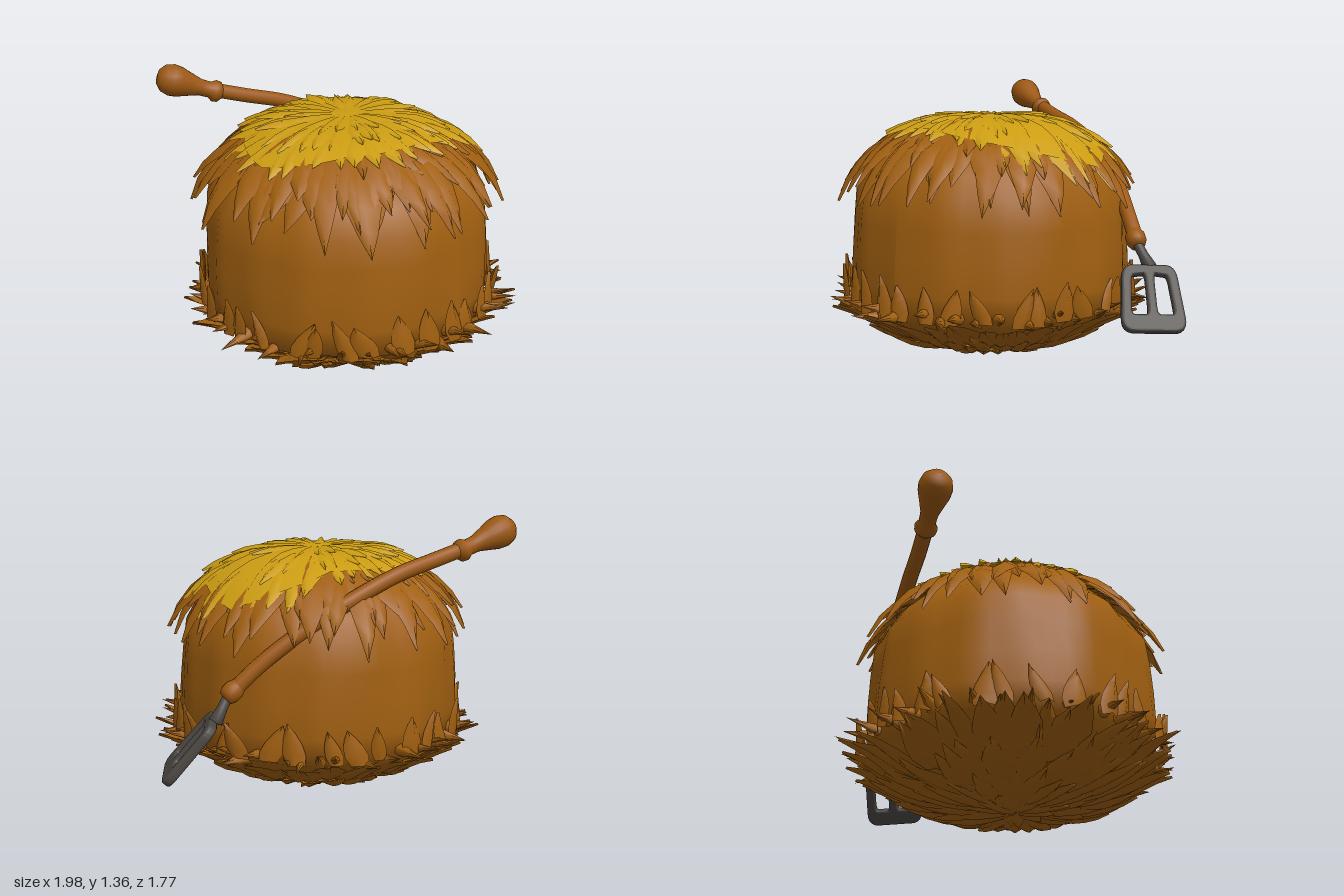
import * as THREE from 'three';

const CX = -0.14; // the stack sits left of the origin, the turner hangs on its other side

const mat = (name, color, side = THREE.FrontSide) => {
  const m = new THREE.MeshStandardMaterial({ color, side });
  m.name = name;
  return m;
};
const v2 = (pts) => pts.map(([r, y]) => new THREE.Vector2(r, y));
const spline = (pts) => new THREE.SplineCurve(v2(pts));

// Profiles (radius, height) that the straw follows
const roof = spline([[0, 1.19], [0.3, 1.165], [0.48, 1.09], [0.6, 0.99], [0.68, 0.87], [0.72, 0.75]]);
const under = spline([[0, 0.04], [0.3, 0.075], [0.52, 0.15], [0.7, 0.26], [0.84, 0.32]]);
const wall = spline([[0.74, 0.27], [0.705, 0.4], [0.695, 0.6]]);

let seed = 7;
const rnd = (a, b) => {
  seed = (seed * 16807) % 2147483647;
  return a + (b - a) * (seed / 2147483647);
};

// One pointed, ridged straw blade running along a profile from s0 to s1
const WIDTH = [0.75, 1, 0.85, 0.5, 0];
function blade(out, curve, sign, theta, s0, s1, width, lift, drift) {
  const base = out.pos.length / 3;
  WIDTH.forEach((f, i) => {
    const t = i / (WIDTH.length - 1);
    const s = THREE.MathUtils.clamp(s0 + (s1 - s0) * t, 0, 1);
    const p = curve.getPointAt(s), d = curve.getTangentAt(s);
    const a = theta + drift * t;
    const c = Math.cos(a), n = Math.sin(a);
    for (const k of [-1, 0, 1]) {
      const h = lift * t + (k === 0 ? 0.018 * f : -0.012);
      const r = p.x - sign * d.y * h, y = p.y + sign * d.x * h, u = k * f * width / 2;
      out.pos.push(CX + r * c - u * n, Math.max(y, 0), r * n + u * c);
    }
    if (i) for (const j of [0, 1]) {
      const q = base + i * 3 + j;
      out.idx.push(q - 3, q, q - 2, q - 2, q, q + 1);
    }
  });
}

// A ring of irregular blades
function ring(out, curve, sign, count, s0, s1, width, lift) {
  for (let i = 0; i < count; i++) {
    const a = ((i + rnd(-0.3, 0.3)) / count) * Math.PI * 2;
    blade(out, curve, sign, a, s0 + rnd(-0.04, 0.04), s1 + rnd(-0.07, 0.06),
      width * rnd(0.75, 1.25), lift * rnd(0.4, 1.3), rnd(-0.12, 0.12));
  }
}

function strawMesh(name, material, fill) {
  const out = { pos: [], idx: [] };
  fill(out);
  const g = new THREE.BufferGeometry();
  g.setAttribute('position', new THREE.Float32BufferAttribute(out.pos, 3));
  g.setIndex(out.idx);
  g.computeVertexNormals();
  const m = new THREE.Mesh(g, material);
  m.name = name;
  return m;
}

// How far the golden cap reaches down the roof in each direction, every 45 degrees from +x
const REACH = [0.93, 0.72, 0.55, 0.56, 0.73, 0.6, 0.58, 0.58];
function reach(theta) {
  const f = THREE.MathUtils.euclideanModulo(theta / (Math.PI * 2), 1) * 8;
  const i = Math.floor(f) % 8;
  return THREE.MathUtils.lerp(REACH[i], REACH[(i + 1) % 8], f % 1);
}

export function createModel() {
  const model = new THREE.Group();
  const brown = mat('brownStraw', 0xa05f10, THREE.DoubleSide);
  const gold = mat('goldenStraw', 0xcb9c12, THREE.DoubleSide);
  const wood = mat('wood', 0x9c5812);
  const iron = mat('darkIron', 0x4b4743);
  const add = (name, geo, material, parent = model) => {
    const m = new THREE.Mesh(geo, material);
    m.name = name;
    parent.add(m);
    return m;
  };

  // Solid core with a gently lumpy wall
  const core = new THREE.LatheGeometry(v2([
    [0, 0.05], [0.3, 0.085], [0.52, 0.16], [0.69, 0.27], [0.705, 0.4], [0.7, 0.55], [0.69, 0.7],
    [0.675, 0.84], [0.61, 0.95], [0.5, 1.06], [0.32, 1.145], [0, 1.175],
  ]), 64);
  const cp = core.attributes.position;
  for (let i = 0; i < cp.count; i++) {
    const a = Math.atan2(cp.getZ(i), cp.getX(i));
    const k = 1 + 0.012 * Math.sin(9 * a + cp.getY(i) * 4) + 0.008 * Math.sin(17 * a);
    cp.setXYZ(i, cp.getX(i) * k + CX, cp.getY(i), cp.getZ(i) * k);
  }
  core.computeVertexNormals();
  add('stackBody', core, brown);

  // Brown thatch hanging over the wall
  model.add(strawMesh('roofThatch', brown, (o) => {
    ring(o, roof, 1, 44, 0.5, 0.93, 0.15, 0.055);
    ring(o, roof, 1, 40, 0.4, 0.78, 0.15, 0.035);
    ring(o, roof, 1, 34, 0.25, 0.62, 0.15, 0.03);
  }));

  // Blades under the bowl-shaped bottom, and tufts rising against the wall
  model.add(strawMesh('bottomThatch', brown, (o) => {
    ring(o, under, -1, 48, 0.55, 0.95, 0.15, 0.03);
    ring(o, under, -1, 40, 0.35, 0.72, 0.14, 0.04);
    ring(o, under, -1, 26, 0.15, 0.5, 0.13, 0.035);
    ring(o, under, -1, 12, 0.04, 0.28, 0.12, 0.035);
    ring(o, wall, -1, 34, 0.04, 0.6, 0.1, 0.05);
  }));

  // Spikes sticking out around the rim
  const rim = new THREE.Group();
  rim.name = 'rimSpikes';
  model.add(rim);
  const N = 46;
  for (let i = 0; i < N; i++) {
    const a = Math.PI + ((i + (i ? rnd(-0.3, 0.3) : 0)) / N) * Math.PI * 2;
    const along = Math.abs(Math.sin(a)) > 0.85 ? 0.89 : 0.83;
    const tip = i ? along * rnd(0.92, 1) : 0.86;
    const yaw = i ? a + rnd(-0.06, 0.06) : a;
    const from = new THREE.Vector3(CX + 0.62 * Math.cos(a), rnd(0.24, 0.32), 0.62 * Math.sin(a));
    const to = new THREE.Vector3(CX + tip * Math.cos(yaw), rnd(0.27, 0.36), tip * Math.sin(yaw));
    const dir = to.clone().sub(from);
    const spike = add('rimSpike', new THREE.ConeGeometry(rnd(0.035, 0.055), dir.length(), 7), brown, rim);
    spike.position.copy(from).addScaledVector(dir, 0.5);
    spike.quaternion.setFromUnitVectors(new THREE.Vector3(0, 1, 0), dir.normalize());
  }

  // Golden cap: a sheet laid on the roof with blades over its border
  const sheet = new THREE.LatheGeometry(v2([...Array(13).keys()].map((i) => [i / 12, 0])), 64);
  const sp = sheet.attributes.position;
  for (let i = 0; i < sp.count; i++) {
    const x = sp.getX(i), z = sp.getZ(i), a = Math.atan2(z, x);
    const p = roof.getPointAt(Math.hypot(x, z) * reach(a) * 0.82);
    const r = p.x + 0.03 * Math.hypot(x, z);
    sp.setXYZ(i, CX + r * Math.cos(a), p.y + 0.022, r * Math.sin(a));
  }
  sheet.computeVertexNormals();
  add('goldenCap', sheet, gold);
  model.add(strawMesh('goldenThatch', gold, (o) => {
    for (const [count, a0, a1, width, lift] of [[38, 0.5, 1, 0.13, 0.05], [30, 0.25, 0.75, 0.12, 0.05], [18, 0.04, 0.5, 0.1, 0.04]]) {
      for (let i = 0; i < count; i++) {
        const a = ((i + rnd(-0.3, 0.3)) / count) * Math.PI * 2, e = reach(a);
        blade(o, roof, 1, a, a0 * e, a1 * e * rnd(0.9, 1.06), width * rnd(0.8, 1.2), lift * rnd(0.7, 1.2), rnd(-0.1, 0.1));
      }
    }
  }));

  // Turner: bent wooden handle
  const turner = new THREE.Group();
  turner.name = 'turner';
  model.add(turner);
  const path = new THREE.CatmullRomCurve3([
    [-0.36, 1.23, -0.73], [-0.2, 1.18, -0.65], [0.0, 1.12, -0.56], [0.25, 1.0, -0.44],
    [0.45, 0.85, -0.29], [0.57, 0.73, -0.19], [0.67, 0.61, -0.11],
  ].map((p) => new THREE.Vector3(...p)));
  add('handle', new THREE.TubeGeometry(path, 40, 0.037, 14), wood, turner);

  // Turned pieces placed along a line
  const turned = (name, pts, material, at, dir) => {
    const m = add(name, new THREE.LatheGeometry(v2(pts), 20), material, turner);
    m.position.set(...at);
    m.quaternion.setFromUnitVectors(new THREE.Vector3(0, 1, 0), new THREE.Vector3(...dir).normalize());
  };
  turned('handleKnob', [[0.03, -0.03], [0.052, -0.01], [0.055, 0.015], [0.04, 0.04], [0.042, 0.09], [0.06, 0.15],
    [0.076, 0.2], [0.08, 0.24], [0.068, 0.28], [0.04, 0.305], [0, 0.312]], wood, [-0.33, 1.215, -0.715], [-0.24, 0.1, -0.125]);
  turned('handleCollar', [[0.03, -0.05], [0.048, -0.01], [0.048, 0.025], [0.036, 0.05], [0, 0.05]],
    wood, [0.65, 0.635, -0.125], [0.1, -0.12, 0.08]);
  turned('shank', [[0.024, 0], [0.024, 0.06], [0.034, 0.13], [0, 0.14]], iron, [0.67, 0.61, -0.11], [0.08, -0.11, 0.01]);

  // Slotted iron blade, wider at its free end
  const rounded = (ShapeType, pts) => {
    const s = new ShapeType(), n = pts.length, k = 0.2;
    pts.forEach(([x, y], i) => {
      const [px, py] = pts[(i + n - 1) % n], [qx, qy] = pts[(i + 1) % n];
      const a = [x + (px - x) * k, y + (py - y) * k], b = [x + (qx - x) * k, y + (qy - y) * k];
      if (i) s.lineTo(...a); else s.moveTo(...a);
      s.quadraticCurveTo(x, y, ...b);
    });
    s.closePath();
    return s;
  };
  const plate = rounded(THREE.Shape, [[-0.15, -0.175], [0.15, -0.175], [0.125, 0.165], [-0.125, 0.165]]);
  plate.holes.push(
    rounded(THREE.Path, [[0.018, -0.095], [0.018, 0.125], [0.088, 0.115], [0.103, -0.095]]),
    rounded(THREE.Path, [[-0.018, -0.095], [-0.103, -0.095], [-0.088, 0.115], [-0.018, 0.125]]),
  );
  const bladeGeo = new THREE.ExtrudeGeometry(plate, {
    depth: 0.016, bevelThickness: 0.014, bevelSize: 0.012, bevelOffset: -0.008, bevelSegments: 3, curveSegments: 6,
  });
  bladeGeo.translate(0, 0, -0.008);
  const X = new THREE.Vector3(0.215, -0.01, -0.19).normalize();
  const Z = X.clone().cross(new THREE.Vector3(-0.145, 0.27, -0.18)).normalize();
  const Y = Z.clone().cross(X);
  const slotted = add('slottedBlade', bladeGeo, iron, turner);
  slotted.quaternion.setFromRotationMatrix(new THREE.Matrix4().makeBasis(X, Y, Z));
  slotted.position.set(0.81, 0.385, -0.005);

  return model;
}
